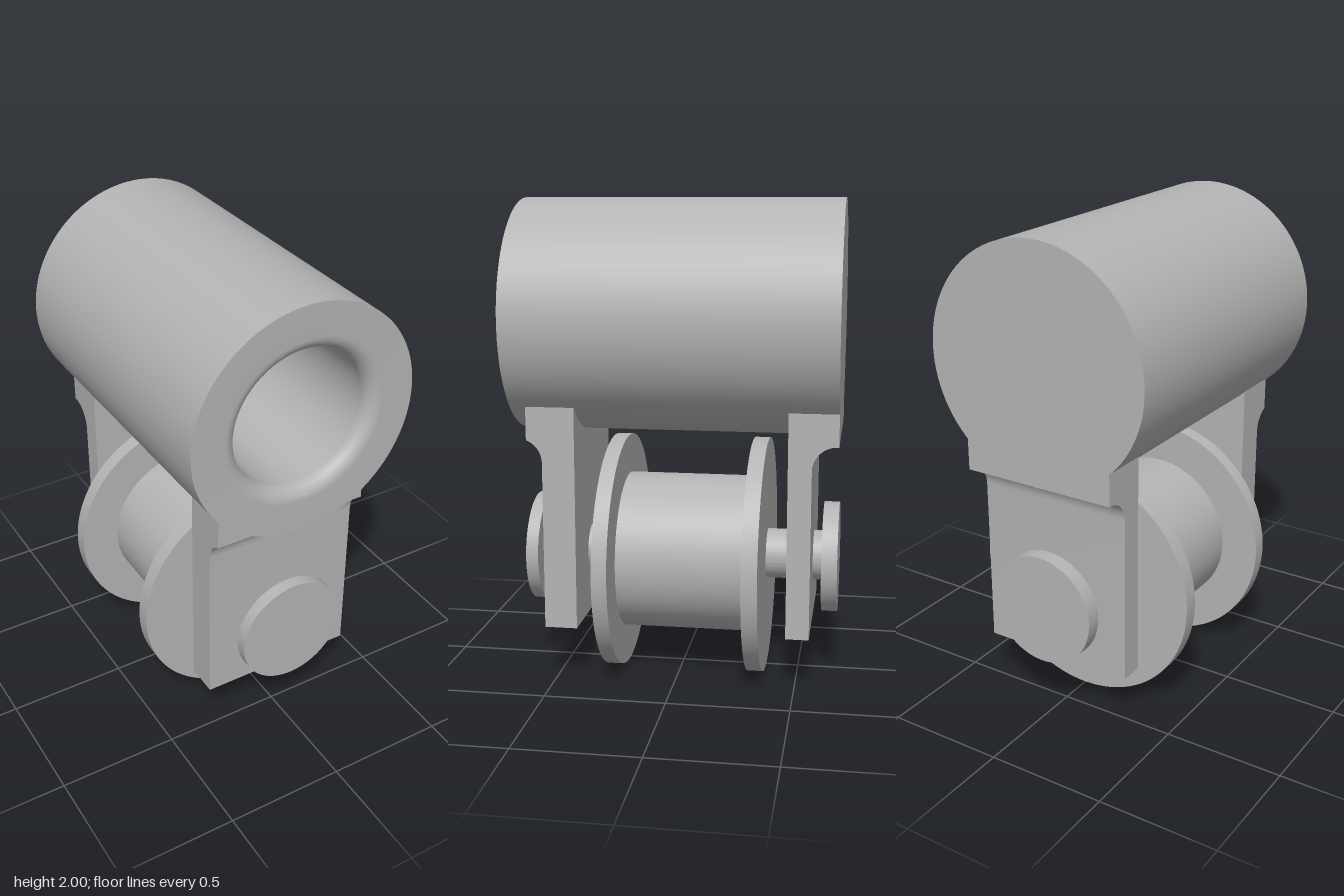
import * as THREE from 'three';
import { toCreasedNormals } from 'three/addons/utils/BufferGeometryUtils.js';

const grey = new THREE.MeshStandardMaterial({ color: 0xb4b4b4 });
grey.name = 'plain grey';

function part(name, geometry) {
  const mesh = new THREE.Mesh(toCreasedNormals(geometry, 0.6), grey);
  mesh.name = name;
  return mesh;
}

// Turned part along z: profile of [radius, z] points, back to front
function turned(name, profile, y) {
  const points = profile.map(([r, z]) => new THREE.Vector2(r, z));
  const mesh = part(name, new THREE.LatheGeometry(points, 96).rotateX(Math.PI / 2));
  mesh.position.y = y;
  return mesh;
}

function disc(name, radius, z0, z1, y) {
  return turned(name, [[0, z0], [radius, z0], [radius, z1], [0, z1]], y);
}

// Hanger plate: side profile with a concave fillet under its thicker head
function hanger(name, side, inner, outer, head) {
  const r = 0.1, cz = outer + r, cy = 0.935;
  const end = Math.acos((head - cz) / r);
  const shape = new THREE.Shape();
  shape.moveTo(side * inner, 0.237);
  shape.lineTo(side * outer, 0.237);
  for (let i = 0; i <= 12; i++) {
    const a = Math.PI + (end - Math.PI) * i / 12;
    shape.lineTo(side * (cz + r * Math.cos(a)), cy + r * Math.sin(a));
  }
  shape.lineTo(side * head, 1.166);
  shape.lineTo(side * inner, 1.166);
  shape.closePath();
  const geometry = new THREE.ExtrudeGeometry(shape, { depth: 0.664, bevelEnabled: false });
  geometry.translate(0, 0, -0.332).rotateY(-Math.PI / 2);
  return part(name, geometry);
}

export function createModel() {
  const model = new THREE.Group();
  model.name = 'hanging roller';

  // Barrel with a blind bore and a rounded mouth
  const barrel = [[0, -0.665], [0.483, -0.665], [0.483, 0.665]];
  for (let i = 0; i <= 10; i++) {
    const a = Math.PI / 2 * (1 + i / 10);
    barrel.push([0.347 + 0.06 * Math.cos(a), 0.605 + 0.06 * Math.sin(a)]);
  }
  barrel.push([0.287, -0.53], [0, -0.53]);
  model.add(turned('barrel', barrel, 1.517));

  // Hangers under each end of the barrel
  model.add(hanger('frontHanger', 1, 0.4, 0.535, 0.6));
  model.add(hanger('backHanger', -1, 0.465, 0.56, 0.665));

  // Flanged spool
  model.add(turned('spool', [
    [0, -0.363], [0.498, -0.363], [0.498, -0.298], [0.332, -0.298],
    [0.332, 0.237], [0.498, 0.237], [0.498, 0.3], [0, 0.3],
  ], 0.5));

  // Axle and its end caps
  model.add(disc('axle', 0.105, -0.61, 0.6, 0.503));
  model.add(disc('frontCap', 0.232, 0.588, 0.64, 0.5));
  model.add(disc('backCap', 0.232, -0.665, -0.6, 0.5));
  return model;
}
